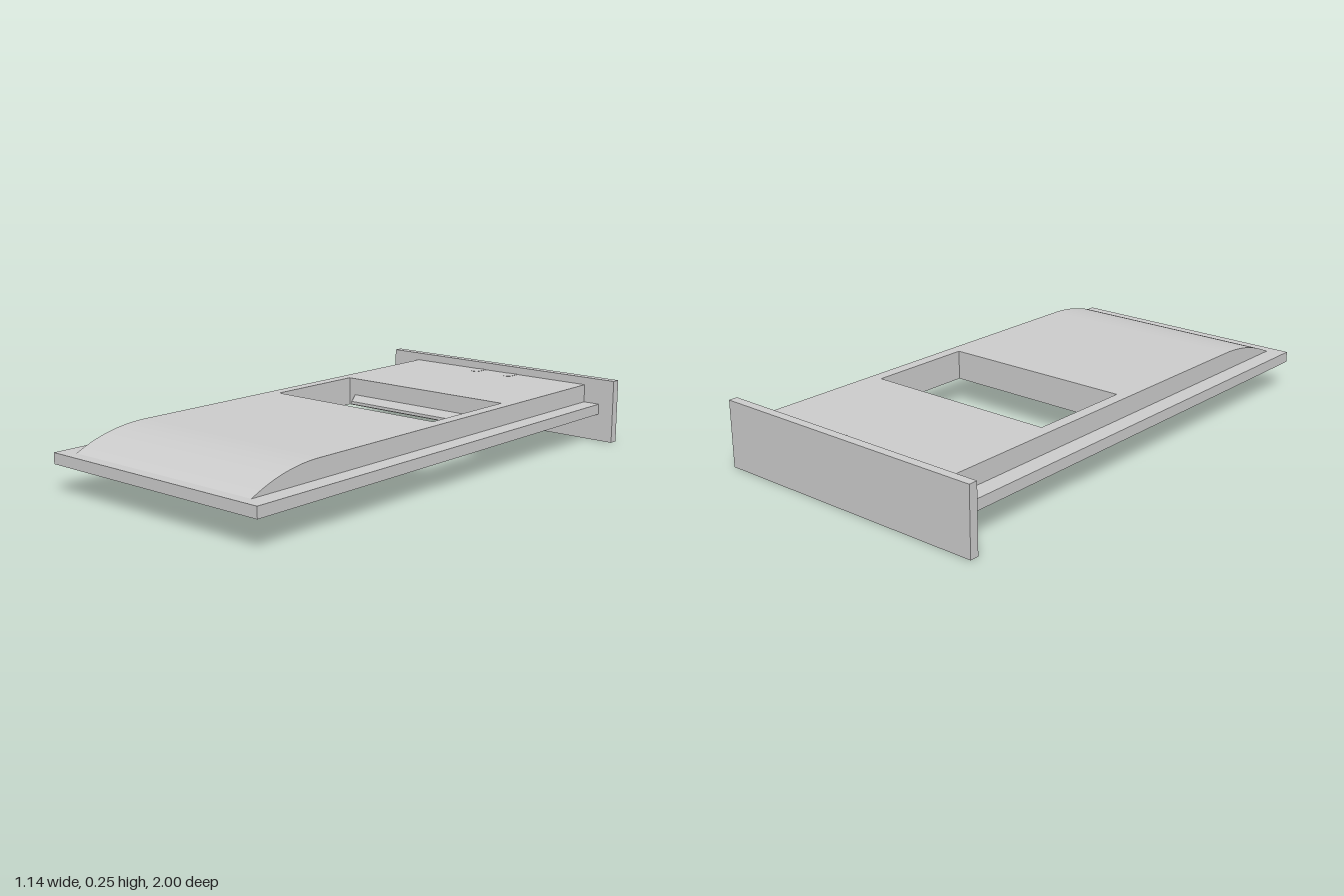
import * as THREE from 'three';
import { toCreasedNormals } from 'three/addons/utils/BufferGeometryUtils.js';

const material = new THREE.MeshStandardMaterial({ color: 0xcccccc, side: THREE.DoubleSide });

// Rectangle path in plan; plan y is -z
function rect(path, halfWidth, z0, z1) {
  path.moveTo(-halfWidth, -z1);
  path.lineTo(halfWidth, -z1);
  path.lineTo(halfWidth, -z0);
  path.lineTo(-halfWidth, -z0);
  path.closePath();
  return path;
}

// Horizontal slab with the rectangular window cut through it
function windowedSlab(halfWidth, z0, z1, y0, y1) {
  const shape = rect(new THREE.Shape(), halfWidth, z0, z1);
  shape.holes.push(rect(new THREE.Path(), 0.388, -0.44, -0.015));
  const geo = new THREE.ExtrudeGeometry(shape, { depth: y1 - y0, bevelEnabled: false });
  return geo.rotateX(-Math.PI / 2).translate(0, y0, 0);
}

// Side profile drawn as (z, y), extruded across x
function acrossX(shape, halfWidth) {
  const geo = new THREE.ExtrudeGeometry(shape, { depth: 2 * halfWidth, bevelEnabled: false, curveSegments: 20 });
  return toCreasedNormals(geo.translate(0, 0, -halfWidth).rotateY(-Math.PI / 2), 0.3);
}

export function createModel() {
  const group = new THREE.Group();
  const add = (name, geo, x = 0, y = 0, z = 0) => {
    const mesh = new THREE.Mesh(geo, material);
    mesh.name = name;
    mesh.position.set(x, y, z);
    group.add(mesh);
    return mesh;
  };

  // Wall mount and the two layers of the body
  add('wallPlate', new THREE.BoxGeometry(1.14, 0.255, 0.035), 0, 0.1275, -0.9825);
  add('basePlate', windowedSlab(0.505, -0.965, 1, 0.11, 0.152));
  add('upperBody', windowedSlab(0.435, -0.965, 0.64, 0.152, 0.224));

  // Curved front end of the upper body
  const nose = new THREE.Shape();
  nose.moveTo(0.64, 0.152);
  nose.lineTo(0.955, 0.152);
  nose.quadraticCurveTo(0.81, 0.224, 0.64, 0.224);
  nose.closePath();
  add('curvedNose', acrossX(nose, 0.435));

  // Sloping waterfall lip on the rear wall of the window
  const lip = new THREE.Shape();
  lip.moveTo(-0.44, 0.118);
  lip.lineTo(-0.418, 0.118);
  lip.lineTo(-0.418, 0.13);
  lip.lineTo(-0.44, 0.155);
  lip.closePath();
  add('waterfallLip', acrossX(lip, 0.358));

  // Round-ended water inlets just breaking the top surface
  for (const side of [-1, 1]) {
    const tab = new THREE.Shape();
    tab.moveTo(-0.02, 0.965);
    tab.lineTo(-0.02, 0.92);
    tab.absarc(0, 0.92, 0.02, Math.PI, 2 * Math.PI, false);
    tab.lineTo(0.02, 0.965);
    tab.closePath();
    const geo = new THREE.ExtrudeGeometry(tab, { depth: 0.04, bevelEnabled: false });
    add('waterInlet', geo.rotateX(-Math.PI / 2), side * 0.083, 0.185, 0);
  }

  // Central spray: tapered ring with a dished middle and a small nub
  const spray = [[0.122, 0.11], [0.086, 0.084], [0.08, 0.084], [0.066, 0.09], [0.05, 0.102],
    [0.032, 0.104], [0.025, 0.094], [0, 0.093]].map(([r, y]) => new THREE.Vector2(r, y));
  add('centralSpray', toCreasedNormals(new THREE.LatheGeometry(spray, 48), 0.5), 0, 0, 0.485);

  // Rings of small rain nozzles under the base plate
  const nozzles = new THREE.Group();
  nozzles.name = 'rainNozzles';
  const nozzle = new THREE.CylinderGeometry(0.011, 0.008, 0.006, 12);
  const perRing = 20;
  [0.19, 0.25, 0.31, 0.37, 0.43].forEach((radius, ring) => {
    for (let i = 0; i < perRing; i++) {
      const a = ((i + (ring % 2) / 2) / perRing) * 2 * Math.PI;
      const mesh = new THREE.Mesh(nozzle, material);
      mesh.name = 'nozzle';
      mesh.position.set(radius * Math.cos(a), 0.107, 0.485 + radius * Math.sin(a));
      nozzles.add(mesh);
    }
  });
  group.add(nozzles);

  return group;
}
